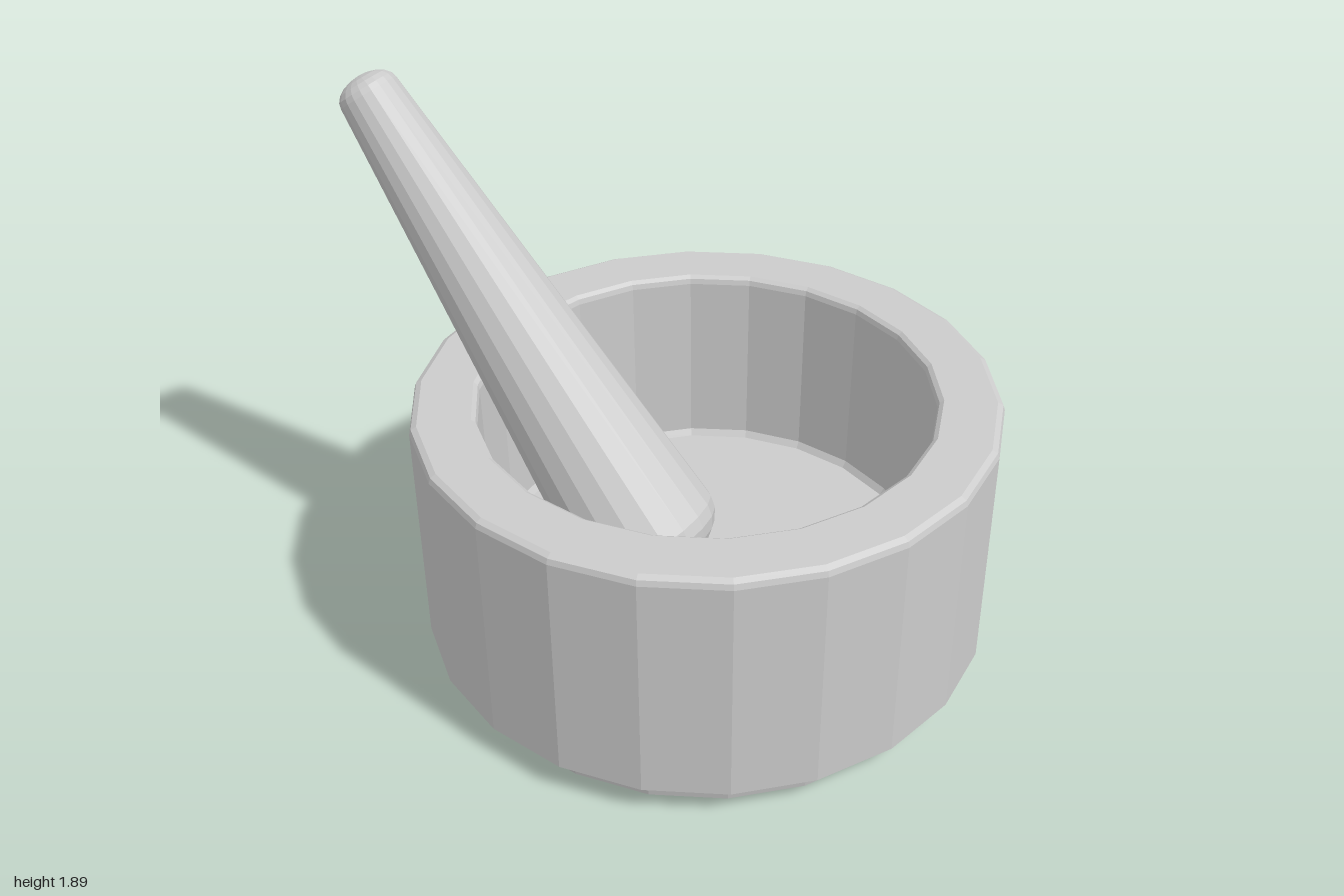
import * as THREE from 'three';

const material = new THREE.MeshStandardMaterial({ color: 0xcccccc, flatShading: true });

// Faceted solid turned from a list of [radius, height] points, bottom to top
function turned(name, profile, sides, phiStart = 0) {
  const points = profile.map(([r, y]) => new THREE.Vector2(r, y));
  const mesh = new THREE.Mesh(new THREE.LatheGeometry(points, sides, phiStart), material);
  mesh.name = name;
  return mesh;
}

// Quarter-ellipse from the axis out to the radius
function dome(radius, height, steps) {
  return Array.from({ length: steps + 1 }, (_, i) => {
    const a = (i / steps) * Math.PI / 2;
    return [i ? radius * Math.sin(a) : 0, height * Math.cos(a)];
  });
}

export function createModel() {
  const model = new THREE.Group();
  model.name = 'mortarAndPestle';

  // Mortar: recessed foot, straight wall, chamfered rim, hollow inside
  const mortar = turned('mortar', [
    [0, 0], [0.863, 0], [0.88, 0.09], [0.951, 0.112],
    [0.951, 0.91], [0.945, 0.928], [0.927, 0.938],
    [0.757, 0.938], [0.743, 0.928], [0.738, 0.91],
    [0.73, 0.285], [0.715, 0.262], [0, 0.26],
  ], 22, THREE.MathUtils.degToRad(4));
  mortar.position.x = 0.045;
  model.add(mortar);

  // Pestle: tapered shaft with a domed head and a domed tip, leaning on the rim
  const head = new THREE.Vector3(0, 0.455, 0.228);
  const tip = new THREE.Vector3(-0.911, 1.812, 0.557);
  const axis = tip.clone().sub(head);
  const length = axis.length();
  const profile = [
    ...dome(0.25, 0.16, 6).map(([r, y]) => [r, -y]),
    ...dome(0.1, 0.06, 5).reverse().map(([r, y]) => [r, length + y]),
  ];
  const pestle = turned('pestle', profile, 20);
  pestle.position.copy(head);
  pestle.quaternion.setFromUnitVectors(new THREE.Vector3(0, 1, 0), axis.normalize());
  model.add(pestle);

  return model;
}
